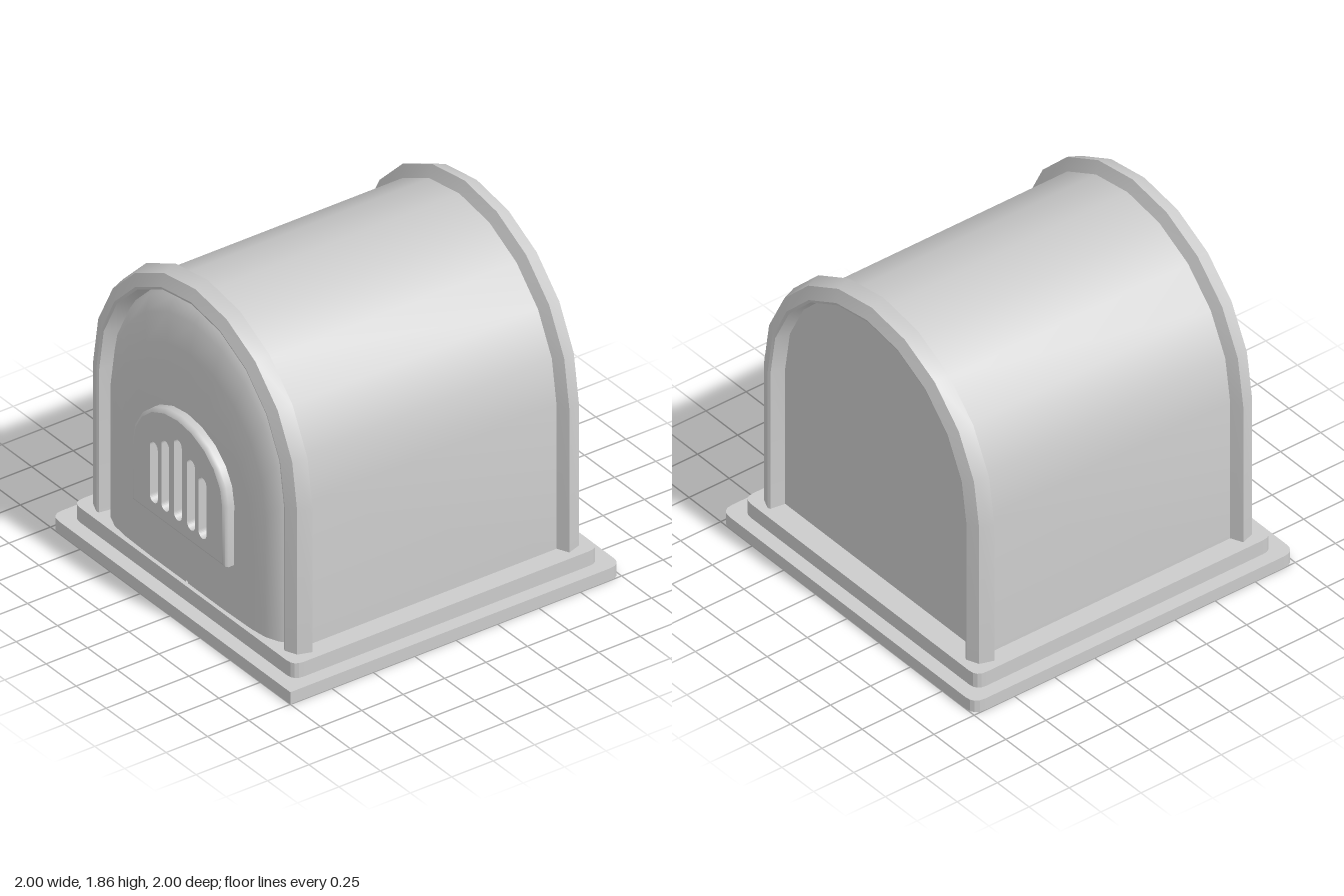
import * as THREE from 'three';
import { toCreasedNormals } from 'three/addons/utils/BufferGeometryUtils.js';

const FLOOR = 0.15, SPRING = 0.985, SEGMENTS = 10;
const material = new THREE.MeshStandardMaterial({ color: 0xcccccc, side: THREE.DoubleSide });

// Arch outline: up the +x jamb, over the top, down the -x jamb
function arch(w, h = w, floor = FLOOR, spring = SPRING) {
  const pts = [new THREE.Vector2(w, floor)];
  for (let i = 0; i <= SEGMENTS; i++) {
    const a = (Math.PI * i) / SEGMENTS;
    pts.push(new THREE.Vector2(w * Math.cos(a), spring + h * Math.sin(a)));
  }
  pts.push(new THREE.Vector2(-w, floor));
  return pts;
}

// Skin between successive outlines, each given as { pts, z }
function loft(rings, crease = 0.55) {
  const pos = [], index = [], n = rings[0].pts.length;
  for (const { pts, z } of rings) for (const p of pts) pos.push(p.x, p.y, z);
  for (let i = 0; i < rings.length - 1; i++) {
    for (let j = 0; j < n - 1; j++) {
      const a = i * n + j, d = a + n;
      index.push(a, a + 1, d + 1, a, d + 1, d);
    }
  }
  const g = new THREE.BufferGeometry();
  g.setAttribute('position', new THREE.Float32BufferAttribute(pos, 3));
  g.setIndex(index);
  return toCreasedNormals(g, crease);
}

// Rectangular slab with softened corners, one front corner optionally square
function slab(half, y, height, r, squareCorner) {
  const s = new THREE.Shape();
  s.moveTo(-half + r, -half);
  if (squareCorner) s.lineTo(half, -half);
  else {
    s.lineTo(half - r, -half);
    s.quadraticCurveTo(half, -half, half, -half + r);
  }
  s.lineTo(half, half - r);
  s.quadraticCurveTo(half, half, half - r, half);
  s.lineTo(-half + r, half);
  s.quadraticCurveTo(-half, half, -half, half - r);
  s.lineTo(-half, -half + r);
  s.quadraticCurveTo(-half, -half, -half + r, -half);
  const g = new THREE.ExtrudeGeometry(s, { depth: height, bevelEnabled: false, curveSegments: 4 });
  return g.rotateX(-Math.PI / 2).translate(0, y, 0);
}

// Vertical slot with round ends
function slot(x, bottom, top, r) {
  const p = new THREE.Path();
  p.absarc(x, top - r, r, 0, Math.PI, false);
  p.absarc(x, bottom + r, r, Math.PI, Math.PI * 2, false);
  p.closePath();
  return p;
}

export function createModel() {
  const model = new THREE.Group();
  const add = (name, geometry, parent = model) => {
    const mesh = new THREE.Mesh(geometry, material);
    mesh.name = name;
    parent.add(mesh);
  };

  // Stepped base
  add('lowerBase', slab(1, 0, 0.07, 0.07, true));
  add('upperBase', slab(0.922, 0.07, 0.085, 0.06, false));

  // Vaulted body
  add('vault', loft([{ pts: arch(0.81), z: -0.76 }, { pts: arch(0.81), z: 0.76 }]));

  // Rims: [radius, z] section swept along the arch
  const section = [[0.81, 0.745], [0.875, 0.775], [0.85, 0.85], [0.785, 0.878], [0.77, 0.872], [0.75, 0.745]];
  const rim = (profile) => loft(profile.map(([r, z]) => ({ pts: arch(r), z })));
  add('frontRim', rim(section));
  add('backRim', rim(section.map(([r, z]) => [r, -z]).reverse()));

  // Flat recessed back wall
  const wall = new THREE.ShapeGeometry(new THREE.Shape(arch(0.765)));
  add('backWall', wall.rotateY(Math.PI).translate(0, 0, -0.79));

  // Domed front panel, outlines shrinking toward the middle of the floor line
  const dome = [[1, 0.765], [0.98, 0.81], [0.93, 0.852], [0.83, 0.882], [0.7, 0.894], [0.4, 0.9], [0.01, 0.9]];
  add('frontPanel', loft(dome.map(([s, z]) => ({
    pts: arch(0.755).map((p) => new THREE.Vector2(p.x * s, FLOOR + (p.y - FLOOR) * s)), z,
  })), 0.8));

  // Vent: slotted face plate with a rounded border
  const vent = new THREE.Group();
  vent.name = 'vent';
  model.add(vent);
  const outline = (inset) => {
    const pts = arch(0.39 - inset, 0.33 - inset, 0.455 + inset, 0.8);
    return [...pts, pts[0].clone()];
  };
  const face = new THREE.Shape(outline(0.02).slice(0, -1));
  [[-0.2, 0.885], [-0.105, 0.94], [0, 1.0], [0.11, 0.94], [0.205, 0.885]].forEach(
    ([x, top]) => face.holes.push(slot(x, 0.535, top, 0.033)));
  add('ventFace', new THREE.ExtrudeGeometry(face, { depth: 0.07, bevelEnabled: false, curveSegments: 8 })
    .translate(0, 0, 0.885), vent);
  add('ventBorder', loft([[0, 0.87], [0, 0.932], [0.006, 0.947], [0.02, 0.955]]
    .map(([inset, z]) => ({ pts: outline(inset), z })), 0.8), vent);

  return model;
}
